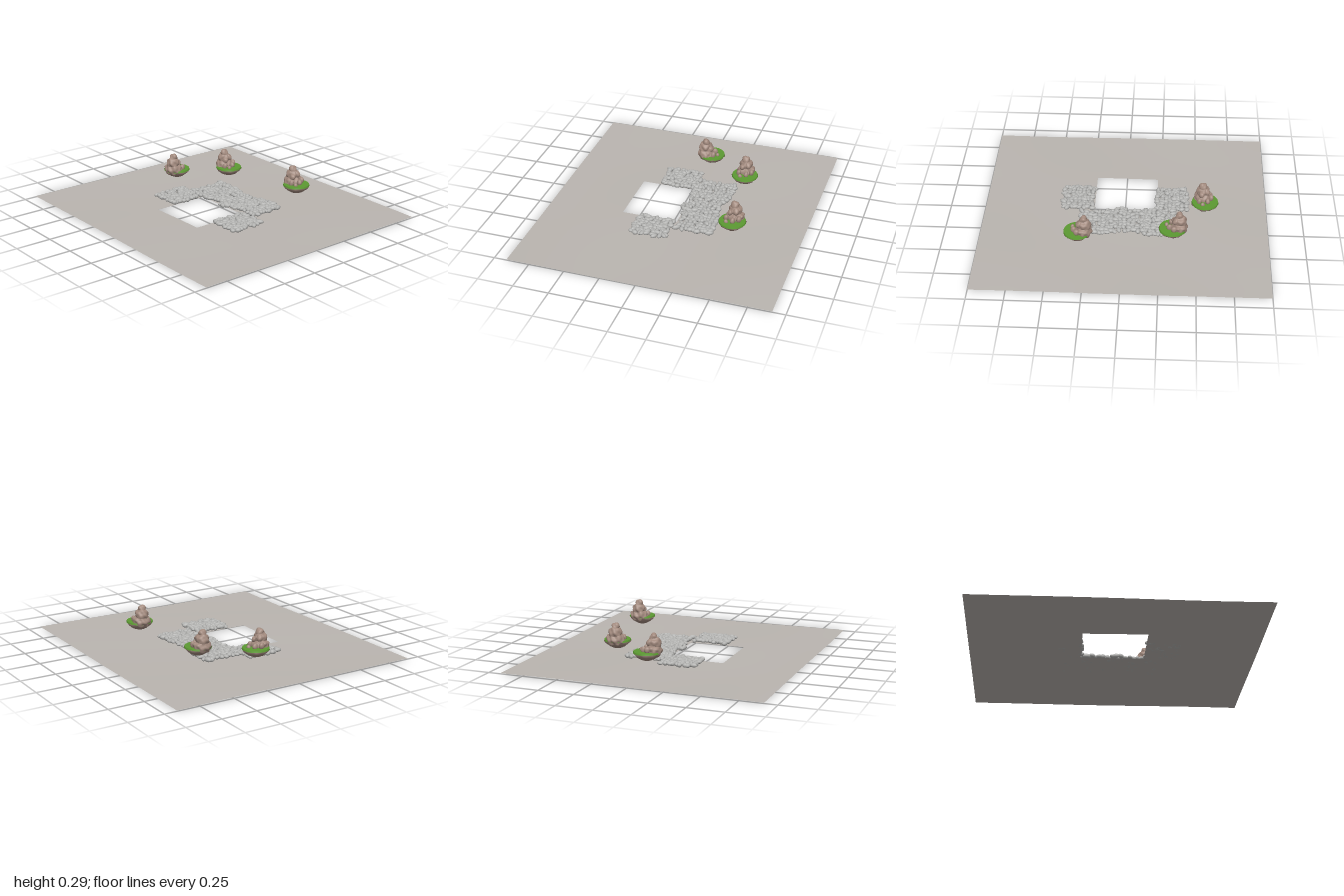
import * as THREE from 'three';
import { mergeGeometries, mergeVertices } from 'three/addons/utils/BufferGeometryUtils.js';

const mat = (name, color, side = THREE.FrontSide) => {
  const m = new THREE.MeshStandardMaterial({ color, side });
  m.name = name;
  return m;
};
const mats = {
  ground: mat('warm grey ground', 0xbab5b0, THREE.DoubleSide),
  stone: mat('grey stone', 0xb4b4b2),
  rock: mat('brown rock', 0xa28a7e),
  grass: mat('grass green', 0x5c9a32),
};

function seeded(seed) {
  let s = seed;
  return () => (s = (s * 16807) % 2147483647) / 2147483647;
}

function mesh(name, geometry, material) {
  const m = new THREE.Mesh(geometry, material);
  m.name = name;
  return m;
}

// Gentle swell of the ground sheet
const swell = (x, z) => 0.006 + 0.002 * Math.sin(4 * x + 2 * z) + 0.002 * Math.sin(5 * z - 3 * x + 1);

// Evenly spaced stops between given edges, keeping each edge
function stops(edges, step) {
  const out = [edges[0]];
  for (let i = 1; i < edges.length; i++) {
    const a = edges[i - 1], b = edges[i], n = Math.ceil((b - a) / step);
    for (let k = 1; k <= n; k++) out.push(a + ((b - a) * k) / n);
  }
  return out;
}

// Ground sheet with a rectangular opening
function groundGeometry() {
  const hole = { x0: -0.225, x1: 0.22, z0: -0.025, z1: 0.375 };
  const xs = stops([-1, hole.x0, hole.x1, 1], 0.08);
  const zs = stops([-0.912, hole.z0, hole.z1, 0.912], 0.08);
  const pos = [], index = [];
  for (const z of zs) for (const x of xs) pos.push(x, swell(x, z), z);
  for (let j = 0; j < zs.length - 1; j++) {
    for (let i = 0; i < xs.length - 1; i++) {
      const cx = (xs[i] + xs[i + 1]) / 2, cz = (zs[j] + zs[j + 1]) / 2;
      if (cx > hole.x0 && cx < hole.x1 && cz > hole.z0 && cz < hole.z1) continue;
      const a = j * xs.length + i, b = a + 1, c = a + xs.length, d = c + 1;
      index.push(a, c, b, b, c, d);
    }
  }
  const g = new THREE.BufferGeometry();
  g.setAttribute('position', new THREE.Float32BufferAttribute(pos, 3));
  g.setIndex(index);
  g.computeVertexNormals();
  return g;
}

// Patch of tightly packed stones; each box is [x0, x1, z0, z1]
function stonePatch(boxes, seed) {
  const rnd = seeded(seed), parts = [];
  for (const [x0, x1, z0, z1] of boxes) {
    const nx = Math.round((x1 - x0) / 0.03), nz = Math.round((z1 - z0) / 0.03);
    for (let j = 0; j < nz; j++) {
      for (let i = 0; i < nx; i++) {
        const u = (i + 0.5) / nx, v = (j + 0.5) / nz;
        // leave out the corners for a rounded outline
        if (Math.abs(2 * u - 1) ** 4 + Math.abs(2 * v - 1) ** 4 > 1.25) continue;
        const x = x0 + (x1 - x0) * u + (rnd() - 0.5) * 0.016;
        const z = z0 + (z1 - z0) * v + (rnd() - 0.5) * 0.016;
        const g = new THREE.SphereGeometry(1, 10, 7);
        g.scale(0.019 + rnd() * 0.012, 0.012 + rnd() * 0.005, 0.013 + rnd() * 0.006);
        g.rotateY(rnd() * Math.PI);
        g.translate(x, 0.018 + rnd() * 0.009, z);
        parts.push(g);
      }
    }
  }
  return mergeGeometries(parts);
}

// Smooth lump with a bumpy surface
function lump([x, y, z, rx, ry, rz], detail) {
  let g = new THREE.IcosahedronGeometry(1, detail);
  g.deleteAttribute('uv');
  g.deleteAttribute('normal');
  g = mergeVertices(g, 1e-4);
  const p = g.attributes.position, v = new THREE.Vector3();
  for (let i = 0; i < p.count; i++) {
    v.fromBufferAttribute(p, i);
    const px = v.x * rx + x, py = v.y * ry + y, pz = v.z * rz + z;
    const n = Math.sin(130 * px + 2) * Math.sin(120 * py) + Math.sin(140 * pz + 90 * py);
    v.multiplyScalar(1 + 0.07 * n);
    p.setXYZ(i, v.x * rx + x, v.y * ry + y, v.z * rz + z);
  }
  g.computeVertexNormals();
  return g;
}

// Crag at the -x side of the island, with boulders at its foot
const cragLumps = [
  [-0.045, 0.015, 0, 0.055, 0.05, 0.066],
  [-0.05, 0.06, 0, 0.045, 0.048, 0.047],
  [-0.045, 0.1, 0.002, 0.027, 0.033, 0.027],
  [-0.022, 0.07, -0.018, 0.024, 0.026, 0.02],
  [-0.02, 0.055, 0.022, 0.025, 0.025, 0.02],
];
const footLumps = [
  [0.005, 0.02, 0.045, 0.017, 0.024, 0.017],
  [0.022, 0.018, -0.012, 0.02, 0.022, 0.017],
  [-0.005, 0.025, -0.045, 0.02, 0.025, 0.018],
  [0.038, 0.01, 0.03, 0.014, 0.017, 0.014],
];

// Rough bowl under the grass
function bowlGeometry() {
  const profile = [[0, -0.055], [0.03, -0.053], [0.055, -0.041], [0.078, -0.022], [0.093, -0.003], [0.085, 0.002], [0, 0.002]];
  const g = new THREE.LatheGeometry(profile.map(([r, y]) => new THREE.Vector2(r, y)), 28);
  const p = g.attributes.position;
  for (let i = 0; i < p.count; i++) {
    const a = Math.atan2(p.getZ(i), p.getX(i)), y = p.getY(i);
    const k = 1 + 0.035 * Math.sin(5 * a + 60 * y) + 0.03 * Math.sin(9 * a - 90 * y);
    p.setXYZ(i, p.getX(i) * k, y, p.getZ(i) * k);
  }
  g.computeVertexNormals();
  return g;
}

function floatingIsland(name, x, y, z, turn) {
  const g = new THREE.Group();
  g.name = name;
  g.add(mesh('islandBase', bowlGeometry(), mats.rock));
  const grass = mesh('grassDisc', new THREE.CylinderGeometry(0.091, 0.094, 0.011, 32), mats.grass);
  grass.position.y = 0.003;
  g.add(grass);
  g.add(mesh('crag', mergeGeometries(cragLumps.map((l) => lump(l, 8))), mats.rock));
  g.add(mesh('footBoulders', mergeGeometries(footLumps.map((l) => lump(l, 4))), mats.rock));
  g.position.set(x, y, z);
  g.rotation.y = turn;
  return g;
}

export function createModel() {
  const model = new THREE.Group();
  model.name = 'rockyClearing';
  model.add(mesh('ground', groundGeometry(), mats.ground));

  // Stone patches around the opening
  model.add(mesh('rightStones', stonePatch([[-0.445, -0.215, -0.015, 0.245]], 11), mats.stone));
  model.add(mesh('leftStones', stonePatch([[0.23, 0.455, -0.015, 0.245]], 23), mats.stone));
  model.add(mesh('backStones', stonePatch([
    [-0.35, -0.13, -0.305, -0.005],
    [-0.17, 0.14, -0.275, -0.025],
    [0.1, 0.32, -0.305, -0.045],
    [-0.01, 0.07, -0.06, 0],
  ], 37), mats.stone));

  // Floating islands
  model.add(floatingIsland('rightIsland', -0.562, 0.125, -0.045, 1.9));
  model.add(floatingIsland('backRightIsland', -0.338, 0.13, -0.36, 0.1));
  model.add(floatingIsland('backLeftIsland', 0.308, 0.155, -0.45, -0.15));
  return model;
}
